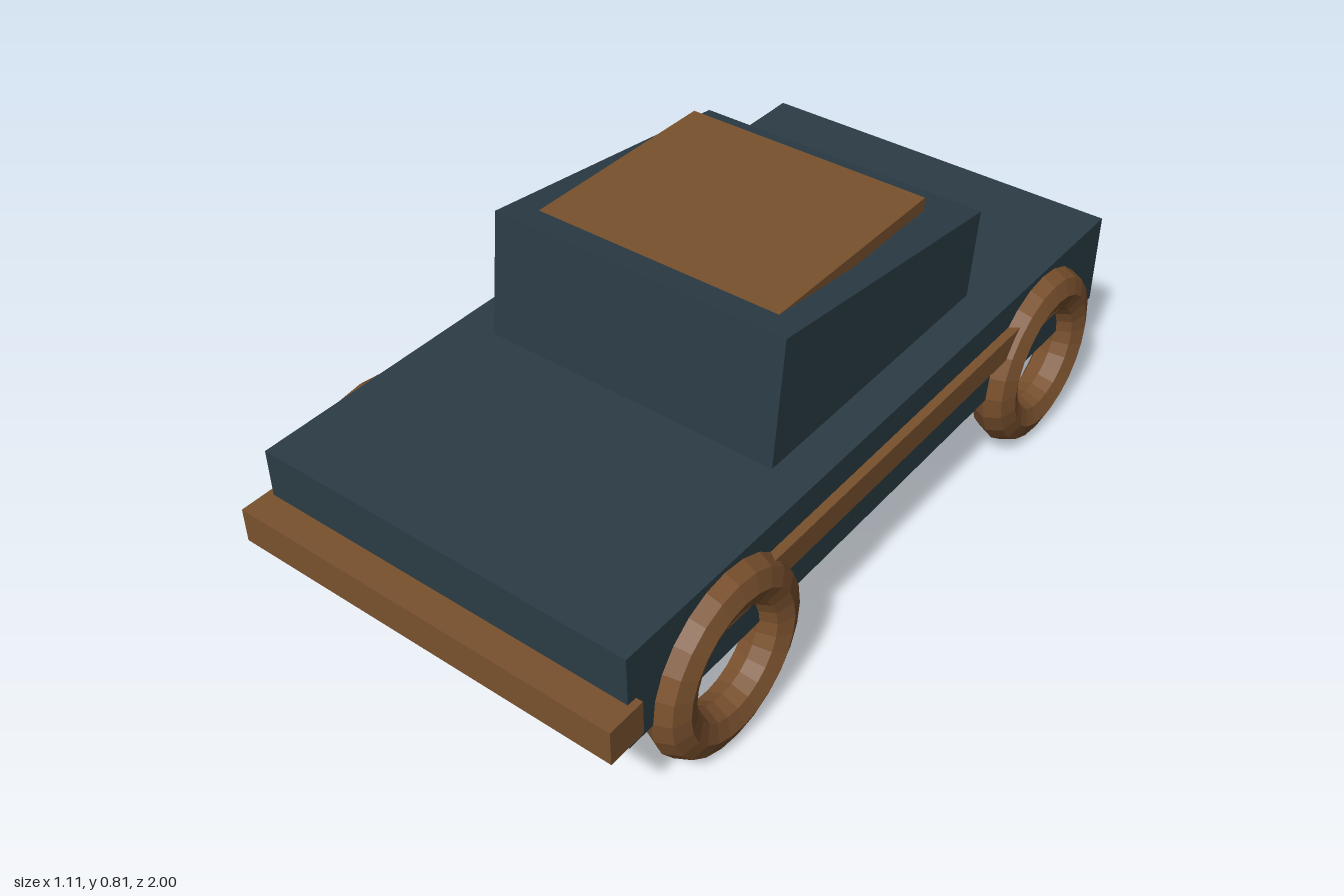
import * as THREE from 'three';

export function createModel() {
  const model = new THREE.Group();
  model.name = 'car';
  const paint = new THREE.MeshStandardMaterial({ color: 0x2b3c45, flatShading: true });
  const wood = new THREE.MeshStandardMaterial({ color: 0x7a512e, flatShading: true });

  function add(name, geometry, material, x, y, z) {
    const mesh = new THREE.Mesh(geometry, material);
    mesh.name = name;
    mesh.position.set(x, y, z);
    model.add(mesh);
    return mesh;
  }
  const box = (name, material, w, h, d, x, y, z) =>
    add(name, new THREE.BoxGeometry(w, h, d), material, x, y, z);

  // Body slab and front bumper
  box('body', paint, 1.005, 0.25, 1.925, 0, 0.365, -0.0375);
  box('bumper', wood, 1.04, 0.09, 0.1, 0, 0.32, 0.95);

  // Cabin, tipped back and sunk into the body
  const cabin = box('cabin', paint, 0.802, 0.4, 0.8, 0, 0.564, -0.099);
  cabin.rotation.x = -0.12;

  // Level roof panel, its front end buried in the cabin
  box('roofPanel', wood, 0.666, 0.034, 0.6, 0, 0.785, -0.07);

  // Side strips and open ring wheels
  const ring = new THREE.TorusGeometry(0.18, 0.058, 8, 24);
  ring.rotateY(Math.PI / 2);
  for (const [side, s] of [['left', 1], ['right', -1]]) {
    box(side + 'Strip', wood, 0.04, 0.066, 1.54, s * 0.506, 0.383, -0.0375);
    add(side + 'FrontWheel', ring, wood, s * 0.498, 0.242, 0.615);
    add(side + 'RearWheel', ring, wood, s * 0.498, 0.242, -0.69);
  }
  return model;
}
